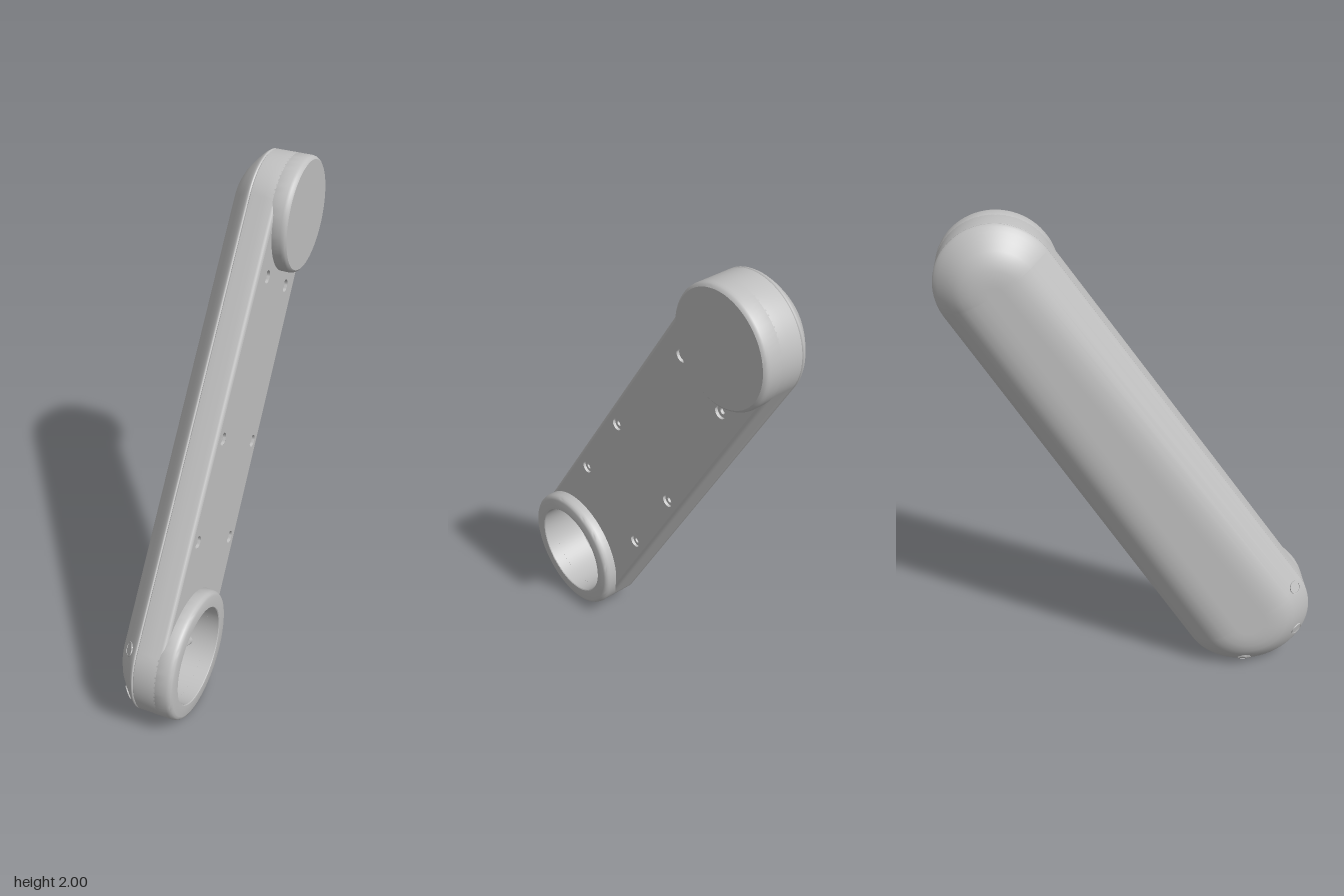
import * as THREE from 'three';
import { toCreasedNormals } from 'three/addons/utils/BufferGeometryUtils.js';

// The arm is built along y, thickness along z, then turned into place.
const LOW = { y: -0.895, r: 0.267 }, HIGH = { y: 0.895, r: 0.23 };
const TAPER = Math.asin((LOW.r - HIGH.r) / (HIGH.y - LOW.y));
const FACE = 0.08, SEAM = -0.03;

// Tapered outline with two round ends, shrunk by inset
function outline(inset, steps = 48) {
  const pts = [];
  const arc = (end, from, to) => {
    for (let i = 0; i <= steps; i++) {
      const a = from + (to - from) * i / steps, r = end.r - inset;
      pts.push(new THREE.Vector2(r * Math.cos(a), end.y + r * Math.sin(a)));
    }
  };
  arc(HIGH, TAPER, Math.PI - TAPER);
  arc(LOW, Math.PI - TAPER, Math.PI * 2 + TAPER);
  return pts;
}

// Skin through outlines given as [inset, z], z ascending
function loft(profile) {
  const pos = [], idx = [];
  let n = 0;
  profile.forEach(([inset, z], i) => {
    const ring = outline(inset);
    n = ring.length;
    ring.forEach((p, j) => {
      pos.push(p.x, p.y, z);
      if (i === 0) return;
      const k = (j + 1) % n, a = (i - 1) * n + j, b = (i - 1) * n + k, c = i * n + j, d = i * n + k;
      idx.push(a, b, d, a, d, c);
    });
  });
  const g = new THREE.BufferGeometry();
  g.setAttribute('position', new THREE.Float32BufferAttribute(pos, 3));
  g.setIndex(idx);
  g.computeVertexNormals();
  return g;
}

// Turned part with its axis along z; points are [radius, z]
function turned(points, segments = 72) {
  const g = new THREE.LatheGeometry(points.map(([r, z]) => new THREE.Vector2(r, z)), segments);
  g.rotateX(Math.PI / 2);
  return toCreasedNormals(g, 0.6);
}

export function createModel() {
  const grey = new THREE.MeshStandardMaterial({ color: 0xc0c0c0 });
  grey.name = 'light grey';
  const model = new THREE.Group();
  model.name = 'linkArm';
  const arm = new THREE.Group();
  arm.name = 'arm';
  const add = (name, geometry, x = 0, y = 0, z = 0) => {
    const m = new THREE.Mesh(geometry, grey);
    m.name = name;
    m.position.set(x, y, z);
    arm.add(m);
    return m;
  };

  const screws = [];
  for (const [x, y] of [[0.124, 0.62], [0.185, -0.022], [0.19, -0.43]]) screws.push([x, y], [-x, y]);

  // Base half: side wall with a rounded edge
  add('baseWall', loft([[0.004, SEAM], [0, SEAM + 0.004], [0, 0.03], [0, 0.064], [0.003, 0.073], [0.008, 0.078], [0.016, FACE]]));

  // Base face, open at the socket and the screws
  const face = new THREE.Shape(outline(0.016));
  const hole = (x, y, r) => face.holes.push(new THREE.Path().absarc(x, y, r, 0, Math.PI * 2, true));
  hole(0, LOW.y, 0.2);
  screws.forEach(([x, y]) => hole(x, y, 0.026));
  add('baseFace', new THREE.ShapeGeometry(face, 24), 0, 0, FACE);

  // Countersunk screws
  const screw = turned([[0.026, FACE], [0.026, 0.068], [0.012, 0.068], [0.012, 0.056], [0, 0.056]], 24);
  screws.forEach(([x, y]) => add('screw', screw, x, y));

  // Cover half: sloped and rounded towards a flat back
  const cover = [[0.2, -0.14], [0.175, -0.1398], [0.14, -0.136], [0.105, -0.126], [0.075, -0.109],
    [0.045, -0.084], [0.02, -0.061], [0.006, -0.046], [0, -0.037], [0, SEAM - 0.003], [0.004, SEAM]];
  add('coverShell', loft(cover));
  const back = new THREE.ShapeGeometry(new THREE.Shape(outline(0.2)));
  back.rotateY(Math.PI);
  add('coverBack', back, 0, 0, -0.14);

  // Solid disc on the upper joint
  add('upperDisc', turned([[0.226, 0.05], [0.23, 0.06], [0.23, 0.114], [0.228, 0.124], [0.224, 0.131], [0.217, 0.136], [0, 0.136]]), 0, HIGH.y);

  // Open ring and bowl on the lower joint
  add('lowerRing', turned([[0.262, 0.05], [0.267, 0.06], [0.267, 0.11], [0.264, 0.121], [0.258, 0.129], [0.248, 0.133],
    [0.203, 0.133], [0.2, 0.13], [0.2, -0.055]]), 0, LOW.y);
  add('socketBowl', turned([[0.2, -0.055], [0.185, -0.075], [0.16, -0.095], [0.12, -0.11], [0, -0.115]]), 0, LOW.y);

  // Pins on the two sides of the socket wall
  for (const side of [-1, 1]) {
    const pin = add('socketPin', new THREE.CylinderGeometry(0.018, 0.018, 0.04, 20), side * 0.192, LOW.y, 0.01);
    pin.rotation.z = Math.PI / 2;
  }

  // Ports around the lower end of the cover
  const port = turned([[0.028, -0.006], [0.028, 0.004], [0.024, 0.004], [0.024, 0.002], [0, 0.002]], 24);
  for (const degrees of [180, 236, 304]) {
    const a = THREE.MathUtils.degToRad(degrees), r = LOW.r - 0.035;
    const m = add('port', port, r * Math.cos(a), LOW.y + r * Math.sin(a), -0.0745);
    const normal = new THREE.Vector3(0.67 * Math.cos(a), 0.67 * Math.sin(a), -0.74).normalize();
    m.quaternion.setFromUnitVectors(new THREE.Vector3(0, 0, 1), normal);
  }

  // Slight roll about the arm, lean, then face sideways
  arm.rotation.y = 0.04;
  const lean = new THREE.Group();
  lean.name = 'lean';
  lean.rotation.z = -Math.atan2(0.975, 1.5);
  lean.add(arm);
  const turn = new THREE.Group();
  turn.name = 'turn';
  turn.rotation.y = Math.PI / 2;
  turn.position.set(0, 1.018, -0.0175);
  turn.add(lean);
  model.add(turn);
  return model;
}
